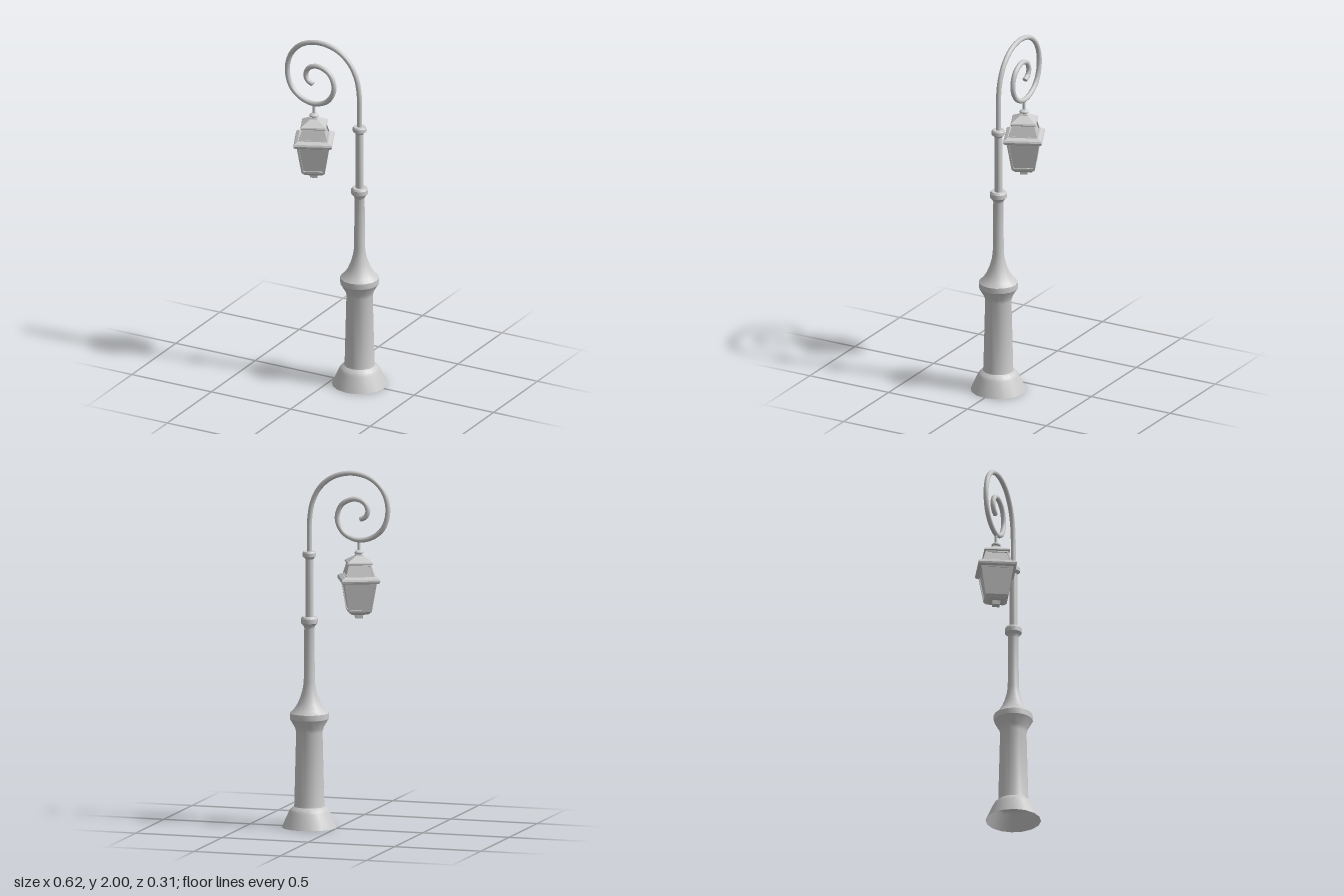
import * as THREE from 'three';
import { toCreasedNormals } from 'three/addons/utils/BufferGeometryUtils.js';

const material = new THREE.MeshStandardMaterial({ color: 0xcccccc, side: THREE.DoubleSide });

function add(parent, name, geometry, x = 0, y = 0, z = 0) {
  const mesh = new THREE.Mesh(geometry, material);
  mesh.name = name;
  mesh.position.set(x, y, z);
  parent.add(mesh);
  return mesh;
}

const toPoints = (pairs) => pairs.map(([a, b]) => new THREE.Vector2(a, b));

// Round turned part from [radius, height] pairs
const turned = (profile, sides = 16) =>
  toCreasedNormals(new THREE.LatheGeometry(toPoints(profile), sides), 0.5);

// Square part from [half width, height] pairs
function square(profile) {
  const points = toPoints(profile.map(([h, y]) => [h * Math.SQRT2, y]));
  return toCreasedNormals(new THREE.LatheGeometry(points, 4, Math.PI / 4), 0.5);
}

// Four leaning window frames between two square sections
function addFrames(parent, name, h0, y0, h1, y1, border) {
  const lean = Math.atan2(h1 - h0, y1 - y0);
  const length = Math.hypot(h1 - h0, y1 - y0);
  const depth = 0.006;
  const halfAt = (v) => h0 + (h1 - h0) * v / length;
  const a = border, b = length - border;
  const shape = new THREE.Shape(toPoints([[-h0, 0], [h0, 0], [h1, length], [-h1, length]]));
  shape.holes.push(new THREE.Path(toPoints([
    [border - halfAt(a), a], [border - halfAt(b), b],
    [halfAt(b) - border, b], [halfAt(a) - border, a],
  ])));
  const geometry = new THREE.ExtrudeGeometry(shape, { depth, bevelEnabled: false });
  geometry.translate(0, 0, -depth);
  geometry.rotateX(lean);
  geometry.translate(0, y0, h0);
  for (let i = 0; i < 4; i++) {
    add(parent, name, geometry).rotation.y = i * Math.PI / 2;
  }
}

function createLantern() {
  const lantern = new THREE.Group();
  lantern.name = 'lantern';
  lantern.position.x = -0.13;
  lantern.rotation.y = 0.43;

  // Lower body
  add(lantern, 'lowerGlass', square([[0.058, 1.225], [0.083, 1.385]]));
  addFrames(lantern, 'lowerWindowFrame', 0.064, 1.222, 0.09, 1.387, 0.012);
  add(lantern, 'lanternBottom', square([
    [0, 1.18], [0.02, 1.18], [0.022, 1.203], [0.045, 1.205], [0.064, 1.223], [0, 1.223],
  ]));

  // Rim around the middle
  add(lantern, 'rim', square([
    [0, 1.383], [0.096, 1.383], [0.105, 1.389], [0.107, 1.399],
    [0.103, 1.409], [0.085, 1.42], [0, 1.42],
  ]));

  // Upper windows and roof
  add(lantern, 'upperGlass', square([[0.074, 1.415], [0.055, 1.485]]));
  addFrames(lantern, 'upperWindowFrame', 0.081, 1.417, 0.061, 1.487, 0.009);
  add(lantern, 'roof', square([
    [0, 1.485], [0.067, 1.485], [0.071, 1.49], [0.068, 1.498], [0.02, 1.529], [0.018, 1.536], [0, 1.536],
  ]));

  // Hanging finial and rod
  add(lantern, 'finial', turned([
    [0, 1.53], [0.014, 1.53], [0.016, 1.538], [0.025, 1.543],
    [0.025, 1.55], [0.017, 1.557], [0.008, 1.561], [0, 1.561],
  ]));
  add(lantern, 'hangingRod', new THREE.CylinderGeometry(0.008, 0.008, 0.065, 12), 0, 1.585);
  return lantern;
}

export function createModel() {
  const model = new THREE.Group();
  model.name = 'streetLamp';
  const postX = 0.157;

  // Hollow base and lower post
  add(model, 'lowerPost', turned([
    [0.153, 0], [0.115, 0.085], [0.107, 0.1], [0.086, 0.116], [0.083, 0.13],
    [0.073, 0.53], [0.079, 0.555], [0.108, 0.605], [0.108, 0.637],
    [0.088, 0.655], [0.066, 0.688], [0.049, 0.727], [0.037, 0.77], [0.031, 0.81],
    [0.028, 1.11], [0.033, 1.124], [0.047, 1.138], [0.047, 1.163], [0.04, 1.174], [0.022, 1.174],
  ]), postX);

  // Upper post with collar
  add(model, 'upperPost', turned([
    [0.022, 1.165], [0.022, 1.495], [0.028, 1.503], [0.038, 1.51],
    [0.038, 1.53], [0.033, 1.538], [0, 1.538],
  ]), postX);

  // Scrolled arm
  const path = new THREE.CatmullRomCurve3([
    [postX, 1.52], [postX, 1.62], [0.155, 1.72], [0.137, 1.82], [0.09, 1.905], [0.015, 1.963],
    [-0.09, 1.986], [-0.2, 1.96], [-0.272, 1.89], [-0.298, 1.79], [-0.272, 1.69],
    [-0.205, 1.632], [-0.12, 1.616], [-0.04, 1.652], [-0.004, 1.73], [-0.032, 1.81],
    [-0.105, 1.843], [-0.162, 1.824], [-0.182, 1.78], [-0.17, 1.748], [-0.138, 1.73],
  ].map(([x, y]) => new THREE.Vector3(x, y, 0)));
  add(model, 'scrollArm', new THREE.TubeGeometry(path, 120, 0.014, 12));
  const cap = add(model, 'scrollEnd', new THREE.CircleGeometry(0.014, 12));
  cap.position.copy(path.getPoint(1));
  cap.lookAt(cap.position.clone().add(path.getTangent(1)));

  model.add(createLantern());
  return model;
}
